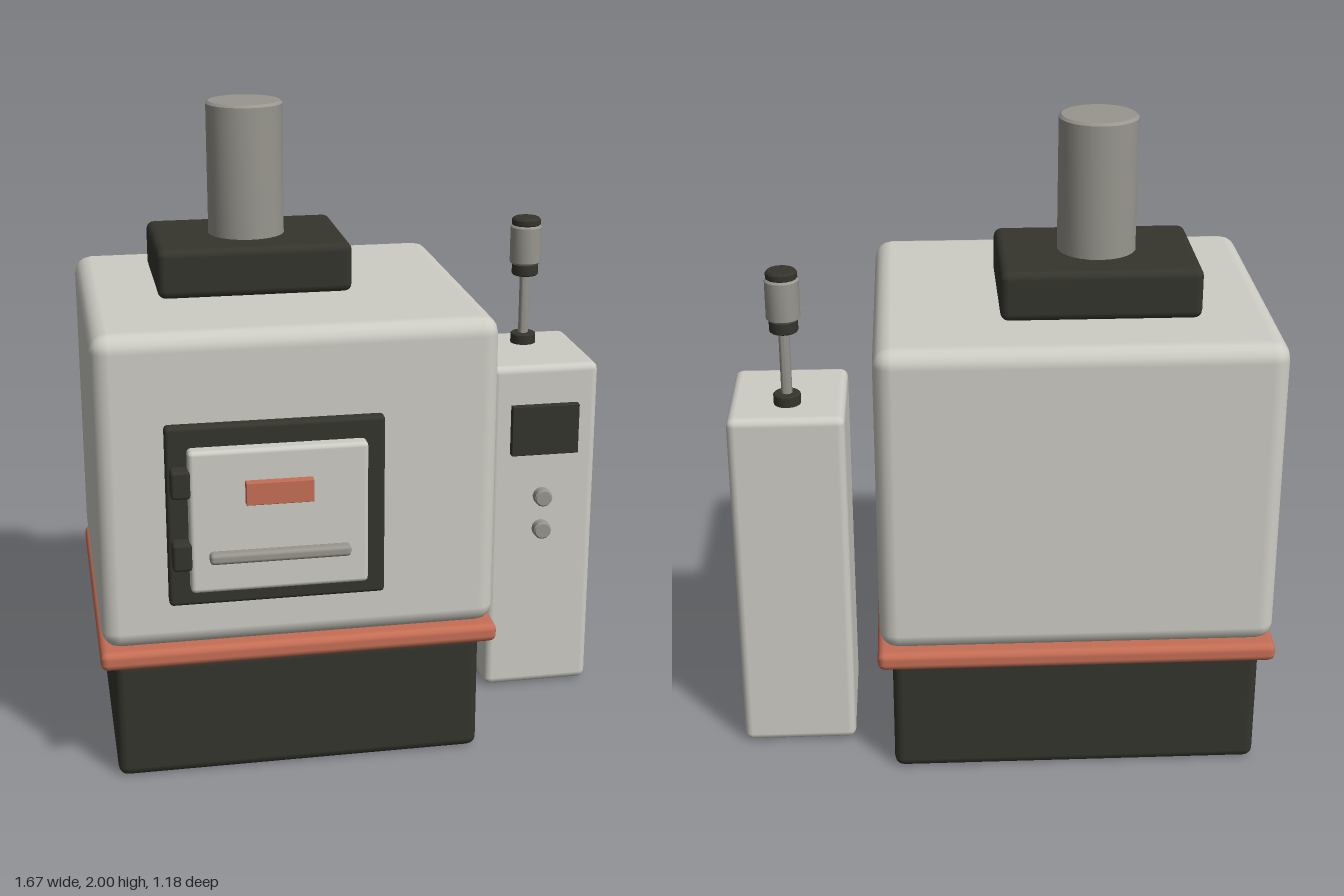
import * as THREE from 'three';
import { toCreasedNormals } from 'three/addons/utils/BufferGeometryUtils.js';
import { RoundedBoxGeometry } from 'three/addons/geometries/RoundedBoxGeometry.js';

export function createModel() {
  const model = new THREE.Group();
  model.name = 'furnace';

  const paint = (name, color) => {
    const m = new THREE.MeshStandardMaterial({ color });
    m.name = name;
    return m;
  };
  const enamel = paint('pale enamel', 0xcecdc5);
  const iron = paint('dark iron', 0x35352d);
  const steel = paint('grey steel', 0x98968e);
  const copper = paint('copper red', 0xc66e55);

  const add = (name, geometry, material, parent = model) => {
    const mesh = new THREE.Mesh(geometry, material);
    mesh.name = name;
    parent.add(mesh);
    return mesh;
  };

  // Bevelled block given by its extents on each axis
  const block = (name, [x0, x1], [y0, y1], [z0, z1], bevel, material, parent) => {
    const g = new RoundedBoxGeometry(x1 - x0, y1 - y0, z1 - z0, 2, bevel);
    add(name, g, material, parent).position.set((x0 + x1) / 2, (y0 + y1) / 2, (z0 + z1) / 2);
  };

  // Upright bevelled cylinder, base at y = 0
  const drumGeometry = (r, h, bevel, sides) => {
    const profile = [[0, 0], [r - bevel, 0], [r, bevel], [r, h - bevel], [r - bevel, h], [0, h]];
    const points = profile.map(([x, y]) => new THREE.Vector2(x, y));
    return toCreasedNormals(new THREE.LatheGeometry(points, sides), 0.6);
  };
  const drum = (name, r, x, y0, y1, z, bevel, sides, material, parent) =>
    add(name, drumGeometry(r, y1 - y0, bevel, sides), material, parent).position.set(x, y0, z);

  // Furnace body
  block('plinth', [-0.795, 0.345], [0, 0.39], [-0.54, 0.44], 0.03, iron);
  block('trimBand', [-0.837, 0.39], [0.385, 0.445], [-0.59, 0.487], 0.022, copper);
  block('furnaceBody', [-0.83, 0.382], [0.447, 1.43], [-0.58, 0.478], 0.055, enamel);

  // Chimney
  block('chimneyBase', [-0.6, 0.003], [1.43, 1.585], [-0.352, 0.098], 0.025, iron);
  drum('chimney', 0.12, -0.3, 1.575, 2, -0.125, 0.008, 24, steel);

  // Door
  const door = new THREE.Group();
  door.name = 'door';
  model.add(door);
  block('doorFrame', [-0.627, 0.025], [0.598, 1.16], [0.46, 0.512], 0.012, iron, door);
  block('doorPanel', [-0.565, -0.033], [0.653, 1.097], [0.49, 0.555], 0.014, enamel, door);
  block('doorPlate', [-0.4, -0.2], [0.933, 1.002], [0.545, 0.582], 0.002, copper, door);
  block('doorHandle', [-0.51, -0.09], [0.753, 0.787], [0.548, 0.588], 0.012, steel, door);
  for (const y of [0.772, 0.998]) {
    block('hinge', [-0.617, -0.56], [y - 0.043, y + 0.043], [0.505, 0.562], 0.01, iron, door);
  }

  // Control console
  const console = new THREE.Group();
  console.name = 'controlConsole';
  model.add(console);
  block('consoleCabinet', [0.472, 0.83], [0.003, 1.14], [-0.372, 0.042], 0.025, enamel, console);
  block('screen', [0.538, 0.762], [0.842, 1.01], [0.03, 0.068], 0.002, iron, console);
  for (const y of [0.575, 0.69]) {
    const button = add('button', drumGeometry(0.03, 0.045, 0.005, 12), steel, console);
    button.rotation.x = Math.PI / 2;
    button.position.set(0.65, y, 0.03);
  }

  // Signal lamp on the console
  const lamp = new THREE.Group();
  lamp.name = 'signalLamp';
  lamp.position.set(0.65, 0, -0.241);
  console.add(lamp);
  drum('lampFoot', 0.042, 0, 1.13, 1.175, 0, 0.004, 16, iron, lamp);
  drum('lampPole', 0.017, 0, 1.17, 1.38, 0, 0.001, 12, steel, lamp);
  drum('lampCollar', 0.044, 0, 1.375, 1.42, 0, 0.004, 16, iron, lamp);
  drum('lampHousing', 0.052, 0, 1.412, 1.546, 0, 0.008, 16, steel, lamp);
  drum('lampCap', 0.048, 0, 1.54, 1.57, 0, 0.007, 16, iron, lamp);

  return model;
}
